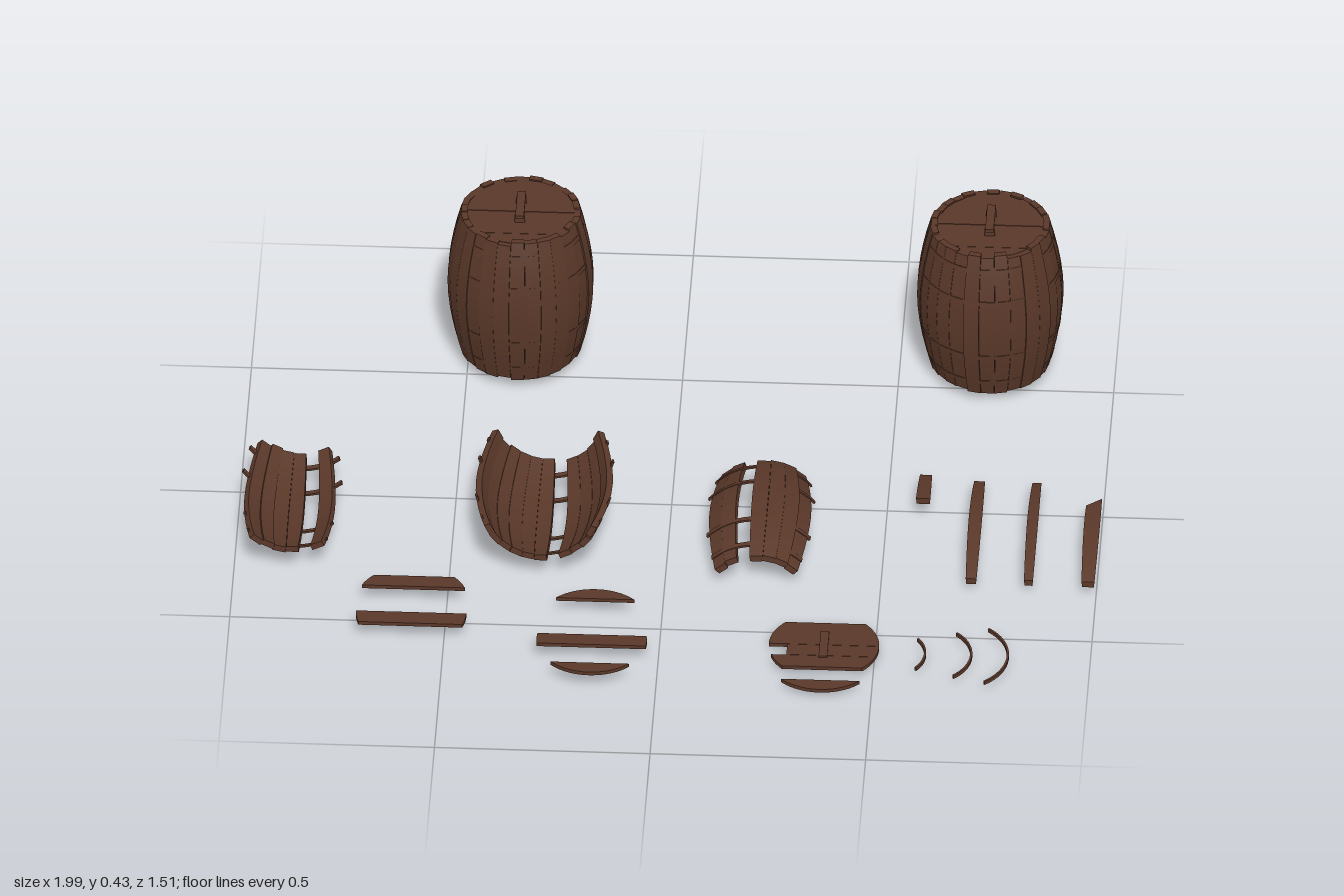
import * as THREE from 'three';

const wood = new THREE.MeshStandardMaterial({ color: 0x5a3829 });
wood.name = 'brownWood';

const STAVES = 28, STEP = (Math.PI * 2) / STAVES;
const HALF = 0.19, LID = 0.128;
const HOOPS = [-0.82, -0.4, 0.4, 0.82];
const bulge = (u) => 0.168 - 0.03 * Math.abs(u) ** 1.8;

let seed = 7;
const jitter = (a) => {
  seed = (seed * 16807) % 2147483647;
  return (seed / 2147483647 - 0.5) * 2 * a;
};

function add(parent, name, geo, x = 0, y = 0, z = 0) {
  const m = new THREE.Mesh(geo, wood);
  m.name = name;
  m.position.set(x, y, z);
  parent.add(m);
  return m;
}

// Move every vertex of a geometry by a rule
function bend(geo, rule) {
  const p = geo.attributes.position;
  for (let i = 0; i < p.count; i++) p.setXYZ(i, ...rule(p.getX(i), p.getY(i), p.getZ(i)));
  geo.computeVertexNormals();
  return geo;
}

// One bowed barrel stave, upright, facing +z; slant breaks its top end
function staveGeo({ u0 = -1, u1 = 1, width = 0.985, shift = 0, slant = 0 } = {}) {
  return bend(new THREE.BoxGeometry(1, 1, 1, 1, 10, 1), (x, y, z) => {
    const u = THREE.MathUtils.lerp(u0, u1, y + 0.5) - slant * (x + 0.5) * (y + 0.5);
    const r = bulge(u) + shift + (z - 0.5) * 0.015;
    return [2 * x * r * Math.tan(STEP / 2) * width, u * HALF, r];
  });
}

// Curved strip around the y axis; angle 0 points to +z
function hoopGeo(rBottom, rTop, start, end, height = 0.011, thick = 0.005) {
  const n = Math.max(8, Math.ceil((end - start) / 0.11));
  return bend(new THREE.BoxGeometry(1, 1, 1, n, 1, 1), (x, y, z) => {
    const a = THREE.MathUtils.lerp(start, end, x + 0.5);
    const r = THREE.MathUtils.lerp(rBottom, rTop, y + 0.5) + (z - 0.5) * thick;
    return [Math.sin(a) * r, y * height, Math.cos(a) * r];
  });
}

// Plank cut from a round lid between two depths, optionally broken off on its left
function plankGeo(z0, z1, left = -1, thick = 0.009) {
  const a0 = Math.asin(Math.max(-1, z0 / LID)), a1 = Math.asin(Math.min(1, z1 / LID));
  const pts = [], n = 10;
  for (let i = 0; i <= n; i++) {
    const a = a0 + ((a1 - a0) * i) / n;
    pts.push([LID * Math.cos(a), LID * Math.sin(a)]);
  }
  const mirrored = pts.map(([x, z]) => [Math.max(left, -x), z]).reverse();
  const shape = new THREE.Shape([...pts, ...mirrored].map(([x, z]) => new THREE.Vector2(x, z)));
  return new THREE.ExtrudeGeometry(shape, { depth: thick, bevelEnabled: false })
    .rotateX(Math.PI / 2).translate(0, thick / 2, 0);
}

// Grip made of two feet and a bar
function addHandle(parent, x, y, z, dir = 1, scale = 1) {
  const g = new THREE.Group();
  g.name = 'lidHandle';
  g.position.set(x, y, z);
  g.scale.y = scale;
  for (const s of [-1, 1]) add(g, 'handleFoot', new THREE.BoxGeometry(0.024, 0.01, 0.012), 0, dir * 0.005, s * 0.038);
  add(g, 'handleBar', new THREE.BoxGeometry(0.02, 0.006, 0.1), 0, dir * 0.013, 0);
  parent.add(g);
}

// Run of staves by index, plus hoops; missing staves are left open,
// and each hoop may stick out past the ends by an angle
function addStaves(parent, from, to, missing, overhang) {
  for (let i = from; i <= to; i++) {
    if (missing.includes(i)) continue;
    const geo = staveGeo({ u0: -1 + jitter(0.025), u1: 1 + jitter(0.025), shift: jitter(0.002) });
    add(parent, 'stave', geo).rotation.y = i * STEP;
  }
  HOOPS.forEach((u, k) => {
    const start = (from - 0.5) * STEP - overhang[k];
    const end = (to + 0.5) * STEP + overhang[k];
    const du = 0.0055 / HALF, lift = 0.0006;
    add(parent, 'hoop', hoopGeo(bulge(u - du) + lift, bulge(u + du) + lift, start, end), 0, u * HALF, 0);
  });
}

function addBarrel(root, x, z) {
  const g = new THREE.Group();
  g.name = 'barrel';
  g.position.set(x, 0.218, z);
  addStaves(g, 0, STAVES - 1, [], [0, 0, 0, 0]);
  // Planked ends
  const cuts = [[-LID, -0.001], [0.001, 0.0885], [0.0895, LID]];
  for (const y of [-0.183, 0.183]) for (const [a, b] of cuts) add(g, 'lidPlank', plankGeo(a, b), 0, y, 0);
  addHandle(g, 0, 0.1875, 0, 1, 1.4);
  root.add(g);
}

// Lying piece of a barrel wall: dir 1 is a bowl, -1 an arch
function addWall(root, x, y, dir, from, to, missing, overhang) {
  const g = new THREE.Group();
  g.name = 'brokenBarrelWall';
  g.position.set(x, y, 0.115);
  g.rotation.x = (dir * Math.PI) / 2;
  addStaves(g, from, to, missing, overhang);
  root.add(g);
}

export function createModel() {
  const root = new THREE.Group();
  root.name = 'barrelsAndBrokenParts';

  addBarrel(root, -0.38, -0.585);
  addBarrel(root, 0.71, -0.585);

  addWall(root, -0.865, 0.188, 1, -3, 2, [1], [0.13, 0.13, 0.03, 0.02]);
  addWall(root, -0.289, 0.188, 1, -5, 5, [1], [0.03, 0.08, 0.08, 0.03]);
  addWall(root, 0.211, -0.058, -1, -3, 3, [-1], [0.01, 0.05, 0.08, 0.08]);

  // Loose staves, whole and snapped
  const loose = [
    [0.585, 0.09, { u0: 0.3, width: 0.9, slant: 0 }],
    [0.71, 0.113, { u0: -1.03, u1: 1.03, width: 0.82 }],
    [0.843, 0.113, { u0: -1.03, u1: 1.03, width: 0.68 }],
    [0.981, 0.115, { u0: -1.02, u1: 0.4, slant: -0.2, width: 0.98 }],
  ];
  for (const [x, z, opts] of loose) {
    add(root, 'looseStave', staveGeo(opts), x, 0.065 - 0.168, z).rotation.x = -Math.PI / 2;
  }

  // Loose lid planks: x, y, z of the lid centre, then the cut
  const planks = [
    [-0.578, 0.04, 0.466, -0.088, -0.046], [-0.578, 0.04, 0.523, 0, 0.044],
    [-0.155, 0.04, 0.538, -LID, -0.09], [-0.155, 0.04, 0.612, -0.02, 0.02], [-0.155, 0.04, 0.615, 0.09, LID],
    [0.38, 0.017, 0.625, 0.09, LID],
  ];
  for (const [x, y, z, a, b] of planks) add(root, 'lidPlank', plankGeo(a, b), x, y, z);

  // Broken lid with a bite out of its left edge
  const strips = [[-0.088, -0.001, -1], [0, 0.042, -0.085], [0.043, 0.088, -1]];
  for (const [a, b, left] of strips) add(root, 'brokenLid', plankGeo(a, b, left), 0.382, 0.018, 0.576);
  addHandle(root, 0.382, 0.0135, 0.576, -1, 0.0135 / 0.016);
  add(root, 'lidBatten', new THREE.BoxGeometry(0.02, 0.004, 0.1), 0.382, 0.0245, 0.576);

  // Loose pieces of hoop
  for (const [x, r, half] of [[0.62, 0.1, 0.06], [0.727, 0.118, 0.0875], [0.812, 0.14, 0.108]]) {
    const a = Math.asin(half / r);
    add(root, 'hoopPiece', hoopGeo(r, r, Math.PI / 2 - a, Math.PI / 2 + a, 0.009), x - r, 0.016, 0.594);
  }
  return root;
}
